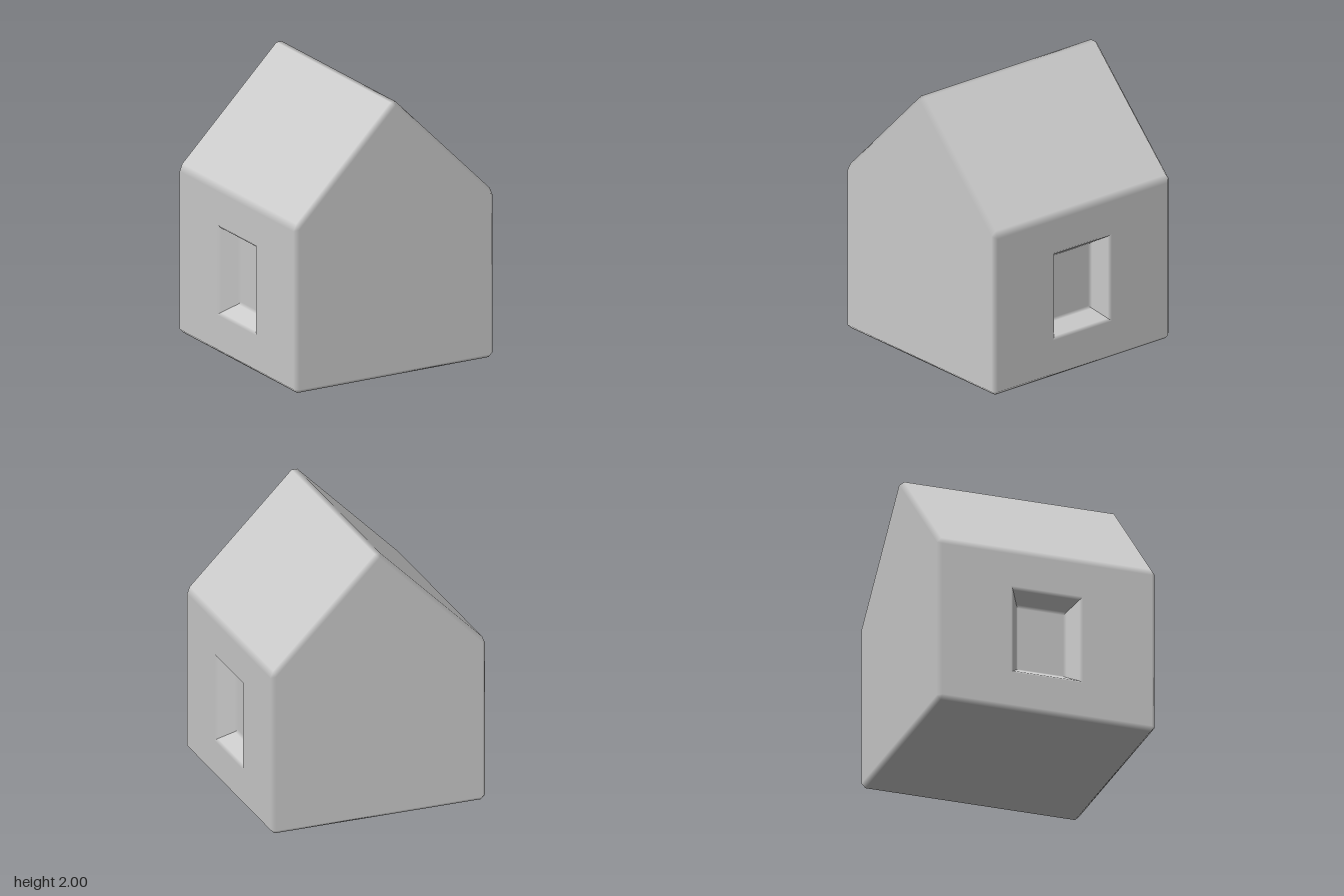
import * as THREE from 'three';

const HALF = 0.805, EAVE = 1.217, RIDGE = 2.022, BEVEL = 0.031;
const V = (x, y, z) => new THREE.Vector3(x, y, z);

// Collects polygons with a normal per corner; winding follows the normals.
class Surface {
  positions = [];
  normals = [];
  polygon(points, normals) {
    for (let i = 1; i < points.length - 1; i++) {
      let ids = [0, i, i + 1];
      const [a, b, c] = ids.map(k => points[k]);
      const facing = b.clone().sub(a).cross(c.clone().sub(a));
      const wanted = ids.reduce((s, k) => s.add(normals[k]), V(0, 0, 0));
      if (facing.dot(wanted) < 0) ids = [0, i + 1, i];
      for (const k of ids) {
        this.positions.push(...points[k].toArray());
        this.normals.push(...normals[k].toArray());
      }
    }
  }
  mesh(name, material) {
    const g = new THREE.BufferGeometry();
    g.setAttribute('position', new THREE.Float32BufferAttribute(this.positions, 3));
    g.setAttribute('normal', new THREE.Float32BufferAttribute(this.normals, 3));
    const m = new THREE.Mesh(g, material);
    m.name = name;
    return m;
  }
}

// Rectangle on a side wall: half width in z, height follows, sunk by depth.
function windowRing(side, halfZ, depth) {
  const x = side * (HALF - depth), y = 0.61, hy = halfZ + 0.065;
  return [V(x, y - hy, halfZ), V(x, y - hy, -halfZ), V(x, y + hy, -halfZ), V(x, y + hy, halfZ)];
}

// Gabled body with softly shaded bevels on every edge
function buildBody(material) {
  const outline = [[-HALF, 0], [HALF, 0], [HALF, EAVE], [0, RIDGE], [-HALF, EAVE]];
  const corners = [HALF, -HALF].flatMap(z => outline.map(([x, y]) => V(x, y, z)));
  const faces = [[0, 1, 2, 3, 4], [9, 8, 7, 6, 5]];
  for (let i = 0; i < 5; i++) {
    const j = (i + 1) % 5;
    faces.push([i, i + 5, j + 5, j]);
  }
  const center = V(0, 0.8, 0);
  const surface = new Surface();
  const edges = new Map(), tips = corners.map(() => []);

  for (const face of faces) {
    const pts = face.map(i => corners[i]);
    const n = pts[1].clone().sub(pts[0]).cross(pts[2].clone().sub(pts[1])).normalize();
    if (n.dot(pts[0].clone().sub(center)) < 0) n.negate();
    const count = face.length;
    // Pull each corner in by the bevel width
    const inset = pts.map((p, i) => {
      const a = pts[(i + count - 1) % count].clone().sub(p).normalize();
      const b = pts[(i + 1) % count].clone().sub(p).normalize();
      const sine = a.clone().cross(b).length();
      return p.clone().addScaledVector(a.add(b), BEVEL / sine);
    });
    face.forEach((v, i) => {
      const k = (i + 1) % count, w = face[k];
      tips[v].push({ p: inset[i], n });
      const key = Math.min(v, w) + '-' + Math.max(v, w);
      const ends = v < w ? [inset[i], inset[k]] : [inset[k], inset[i]];
      if (!edges.has(key)) edges.set(key, []);
      edges.get(key).push({ ends, n });
    });
    if (Math.abs(n.x) > 0.99) {
      // Side wall: frame of four panels around the window opening
      const side = Math.sign(n.x), hole = windowRing(side, 0.265, 0);
      const rim = hole.map(h => inset.find(p =>
        Math.sign(p.z) === Math.sign(h.z) && (p.y > 0.6) === (h.y > 0.6)));
      for (let i = 0; i < 4; i++) {
        const k = (i + 1) % 4;
        surface.polygon([rim[i], rim[k], hole[k], hole[i]], [n, n, n, n]);
      }
    } else {
      surface.polygon(inset, inset.map(() => n));
    }
  }
  // Edge bevels and corner caps
  for (const [a, b] of edges.values()) {
    surface.polygon([a.ends[0], a.ends[1], b.ends[1], b.ends[0]], [a.n, a.n, b.n, b.n]);
  }
  for (const t of tips) surface.polygon(t.map(c => c.p), t.map(c => c.n));
  return surface.mesh('houseBody', material);
}

// Tapered window recess with softened rim and blind back panel
function buildWindow(side, name, material) {
  const surface = new Surface();
  const out = V(side, 0, 0);
  const rings = [[0.265, 0], [0.245, 0.02], [0.185, 0.12], [0.168, 0.14]]
    .map(([halfZ, depth]) => windowRing(side, halfZ, depth));
  for (let i = 0; i < 4; i++) {
    const k = (i + 1) % 4;
    // Normal of this sloping reveal, facing the outside
    const reveal = rings[1][k].clone().sub(rings[1][i])
      .cross(rings[2][i].clone().sub(rings[1][i])).normalize();
    if (reveal.dot(out) < 0) reveal.negate();
    const shade = [out, reveal, reveal, out];
    for (let r = 0; r < 3; r++) {
      surface.polygon(
        [rings[r][i], rings[r][k], rings[r + 1][k], rings[r + 1][i]],
        [shade[r], shade[r], shade[r + 1], shade[r + 1]]);
    }
  }
  surface.polygon(rings[3], [out, out, out, out]);
  return surface.mesh(name, material);
}

export function createModel() {
  const group = new THREE.Group();
  group.name = 'house';
  const material = new THREE.MeshStandardMaterial({ color: 0xcccccc });
  group.add(
    buildBody(material),
    buildWindow(1, 'leftWindow', material),
    buildWindow(-1, 'rightWindow', material));
  return group;
}
